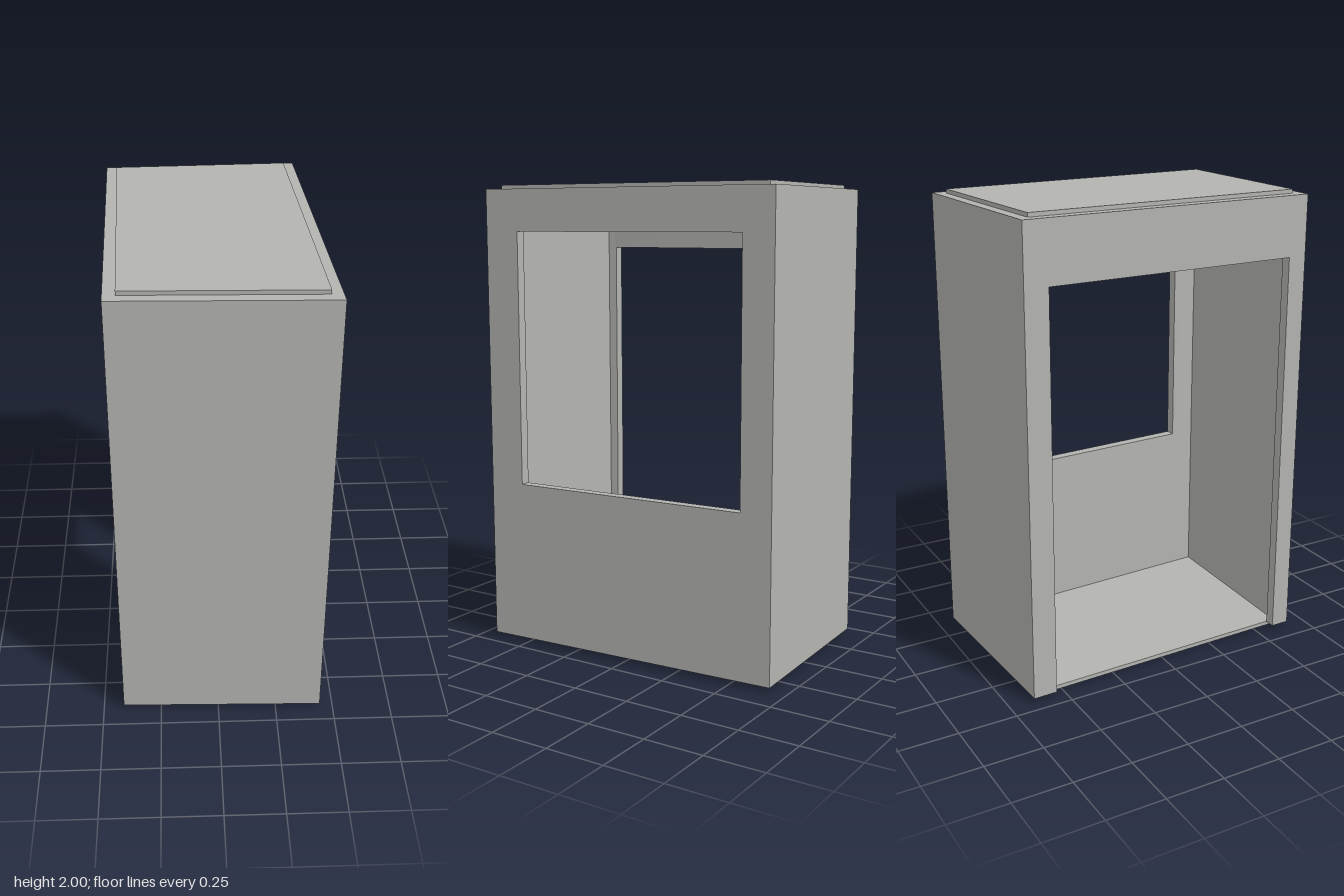
import * as THREE from 'three';

// Plan corners [x, z]: front right, front left, back left, back right
const OUTER = [[0.443, 0.676], [-0.413, 0.657], [-0.445, -0.646], [0.374, -0.679]];
const INNER = [[0.396, 0.629], [-0.366, 0.613], [-0.4, -0.603], [0.33, -0.633]];
const Y0 = 0.018, Y1 = 1.983, THICK = 0.045;

const grey = new THREE.MeshStandardMaterial({ color: 0xb3b3b0 });
grey.name = 'warm grey';

// Mitred wall between corners i and i + 1; the outline is (distance fraction, height)
function wall(name, i, outline, hole) {
  const j = (i + 1) % 4;
  const shape = new THREE.Shape(outline.map(p => new THREE.Vector2(...p)));
  if (hole) shape.holes.push(new THREE.Path(hole.map(p => new THREE.Vector2(...p))));
  const geo = new THREE.ExtrudeGeometry(shape, { depth: 1, bevelEnabled: false });
  const [a, b] = [OUTER[i], OUTER[j]];
  const dx = b[0] - a[0], dz = b[1] - a[1], len = Math.hypot(dx, dz);
  const pos = geo.attributes.position;
  for (let k = 0; k < pos.count; k++) {
    const u = pos.getX(k), inside = pos.getZ(k) > 0.5;
    let x = a[0] + dx * u, z = a[1] + dz * u;
    if (inside && u < 1e-4) [x, z] = INNER[i];
    else if (inside && u > 1 - 1e-4) [x, z] = INNER[j];
    else if (inside) {
      x -= (dz / len) * THICK;
      z += (dx / len) * THICK;
    }
    pos.setXYZ(k, x, pos.getY(k), z);
  }
  geo.computeVertexNormals();
  const mesh = new THREE.Mesh(geo, grey);
  mesh.name = name;
  return mesh;
}

// Thin plate filling the inner plan
function slab(name, y0, y1) {
  const shape = new THREE.Shape(INNER.map(([x, z]) => new THREE.Vector2(x, -z)));
  const geo = new THREE.ExtrudeGeometry(shape, { depth: y1 - y0, bevelEnabled: false });
  geo.rotateX(-Math.PI / 2).translate(0, y0, 0);
  const mesh = new THREE.Mesh(geo, grey);
  mesh.name = name;
  return mesh;
}

// Fraction along wall i at a given z
function along(i, z) {
  const a = OUTER[i][1], b = OUTER[(i + 1) % 4][1];
  return (z - a) / (b - a);
}

export function createModel() {
  const group = new THREE.Group();
  group.name = 'booth';
  const full = [[0, Y0], [1, Y0], [1, Y1], [0, Y1]];

  // Doorway open to the floor in the left-hand side, at -x
  const d0 = along(1, 0.575), d1 = along(1, -0.542), doorTop = 1.727;
  const doorOutline = [[0, Y0], [d0, Y0], [d0, doorTop], [d1, doorTop], [d1, Y0], [1, Y0], [1, Y1], [0, Y1]];

  // Window in the opposite side, at +x
  const w0 = along(3, -0.542), w1 = along(3, 0.516);
  const windowHole = [[w0, 0.715], [w0, 1.805], [w1, 1.805], [w1, 0.715]];

  group.add(
    wall('frontWall', 0, full),
    wall('doorWall', 1, doorOutline),
    wall('backWall', 2, full),
    wall('windowWall', 3, full, windowHole),
    slab('floor', 0, Y0),
    slab('roof', Y1, 2)
  );
  return group;
}
